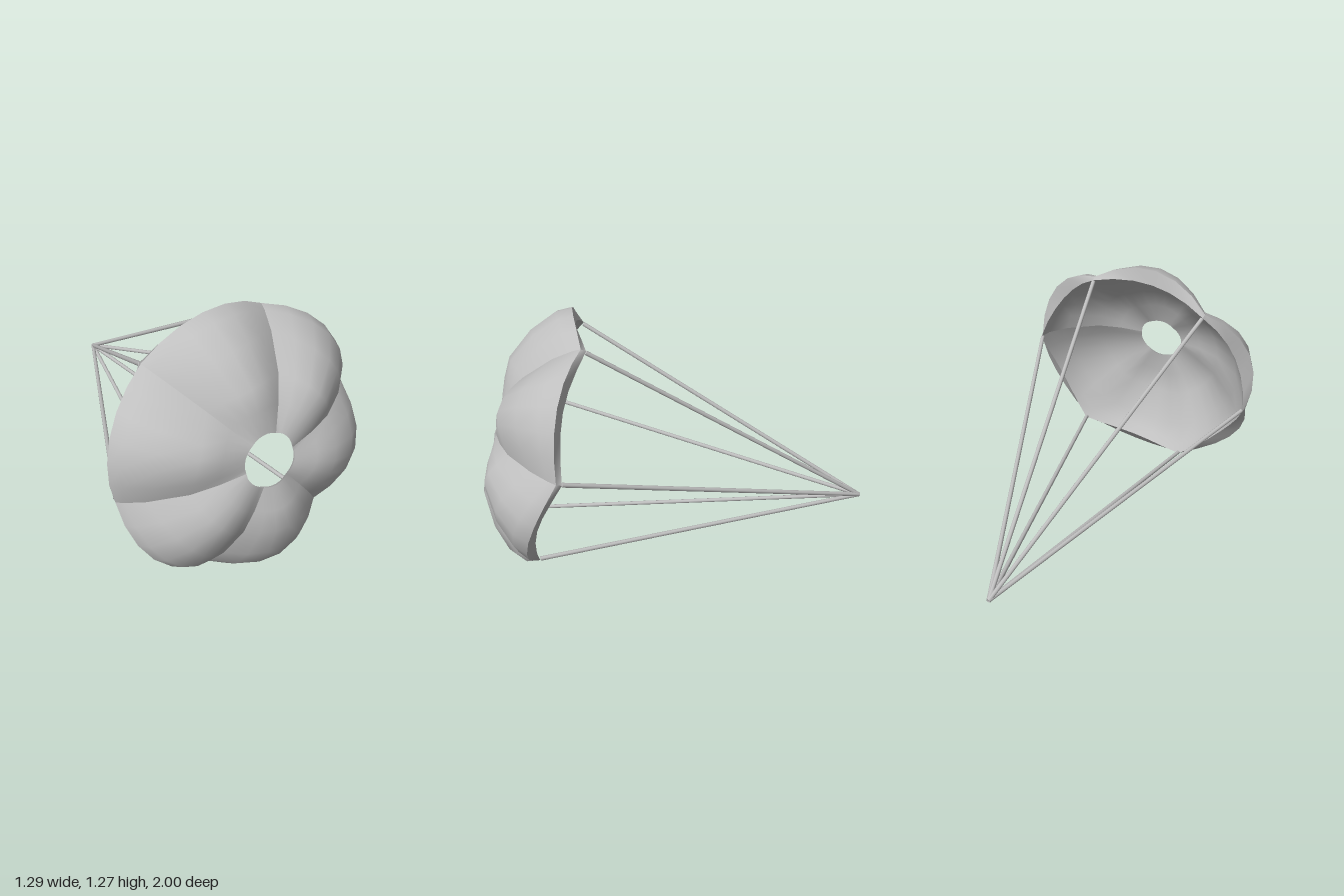
import * as THREE from 'three';

const GORES = 6, STEPS = 6, START = THREE.MathUtils.degToRad(10);
const TILT = THREE.MathUtils.degToRad(-15);
const CENTRE = new THREE.Vector3(0, 0.62, 0.605);
const KNOT = new THREE.Vector3(0, 0.19, -0.99);

// Profiles from vent to rim as [radius, height]: along a seam and along the middle of a gore
const OUTER = {
  seam: [[0.125, 0.31], [0.25, 0.282], [0.373, 0.237], [0.53, 0.125], [0.606, 0.045], [0.63, 0.008]],
  middle: [[0.13, 0.312], [0.25, 0.322], [0.36, 0.318], [0.515, 0.243], [0.626, 0.145], [0.661, 0.07]],
};
const RIM = {
  seam: [[0.63, 0.008], [0.624, -0.018]],
  middle: [[0.661, 0.07], [0.59, 0.038]],
};
const LINING = {
  seam: [[0.125, 0.304], [0.25, 0.274], [0.37, 0.229], [0.525, 0.117], [0.6, 0.037], [0.624, -0.018]],
  middle: [[0.128, 0.306], [0.25, 0.294], [0.37, 0.26], [0.515, 0.153], [0.565, 0.09], [0.59, 0.038]],
};

// Cloth spanning some gores, billowing between its seams
function cloth({ seam, middle }, firstGore, gores) {
  const points = [], faces = [], columns = gores * STEPS;
  seam.forEach(([seamR, seamH], i) => {
    for (let j = 0; j <= columns; j++) {
      const t = j / STEPS, w = Math.abs(Math.sin(Math.PI * t));
      const a = START + (firstGore + t) * Math.PI * 2 / GORES;
      const r = THREE.MathUtils.lerp(seamR, middle[i][0], w);
      const h = THREE.MathUtils.lerp(seamH, middle[i][1], w);
      points.push(r * Math.cos(a), r * Math.sin(a), h);
    }
  });
  const n = columns + 1;
  for (let i = 0; i < seam.length - 1; i++) {
    for (let j = 0; j < columns; j++) {
      const a = i * n + j, b = a + n;
      faces.push(a, b, b + 1, a, b + 1, a + 1);
    }
  }
  const geometry = new THREE.BufferGeometry();
  geometry.setAttribute('position', new THREE.Float32BufferAttribute(points, 3));
  geometry.setIndex(faces);
  geometry.computeVertexNormals();
  return geometry;
}

// Straight round cord between two points
function cord(a, b, material) {
  const dir = b.clone().sub(a);
  const mesh = new THREE.Mesh(new THREE.CylinderGeometry(0.011, 0.011, dir.length(), 8), material);
  mesh.position.copy(a).add(b).multiplyScalar(0.5);
  mesh.quaternion.setFromUnitVectors(new THREE.Vector3(0, 1, 0), dir.normalize());
  return mesh;
}

export function createModel() {
  const model = new THREE.Group();
  model.name = 'parachute';
  const grey = new THREE.MeshStandardMaterial({ color: 0xbfbfbf, side: THREE.DoubleSide });
  grey.name = 'light grey';

  // Tilted canopy: billowing gores with turned-in rims over one smooth lining
  const canopy = new THREE.Group();
  canopy.name = 'canopy';
  canopy.position.copy(CENTRE);
  canopy.rotation.x = TILT;
  const addCloth = (name, profile, first, gores) => {
    const mesh = new THREE.Mesh(cloth(profile, first, gores), grey);
    mesh.name = name;
    canopy.add(mesh);
  };
  for (let i = 0; i < GORES; i++) {
    addCloth('gorePanel', OUTER, i, 1);
    addCloth('rimLip', RIM, i, 1);
  }
  addCloth('lining', LINING, 0, GORES);
  model.add(canopy);

  // Suspension lines from the knot to the end of every seam
  const lines = new THREE.Group();
  lines.name = 'suspensionLines';
  const [rimR, rimH] = RIM.seam[1];
  for (let i = 0; i < GORES; i++) {
    const a = START + i * Math.PI * 2 / GORES;
    const end = new THREE.Vector3((rimR - 0.008) * Math.cos(a), (rimR - 0.008) * Math.sin(a), rimH)
      .applyAxisAngle(new THREE.Vector3(1, 0, 0), TILT).add(CENTRE);
    const line = cord(KNOT, end, grey);
    line.name = 'suspensionLine';
    lines.add(line);
  }
  model.add(lines);
  return model;
}
